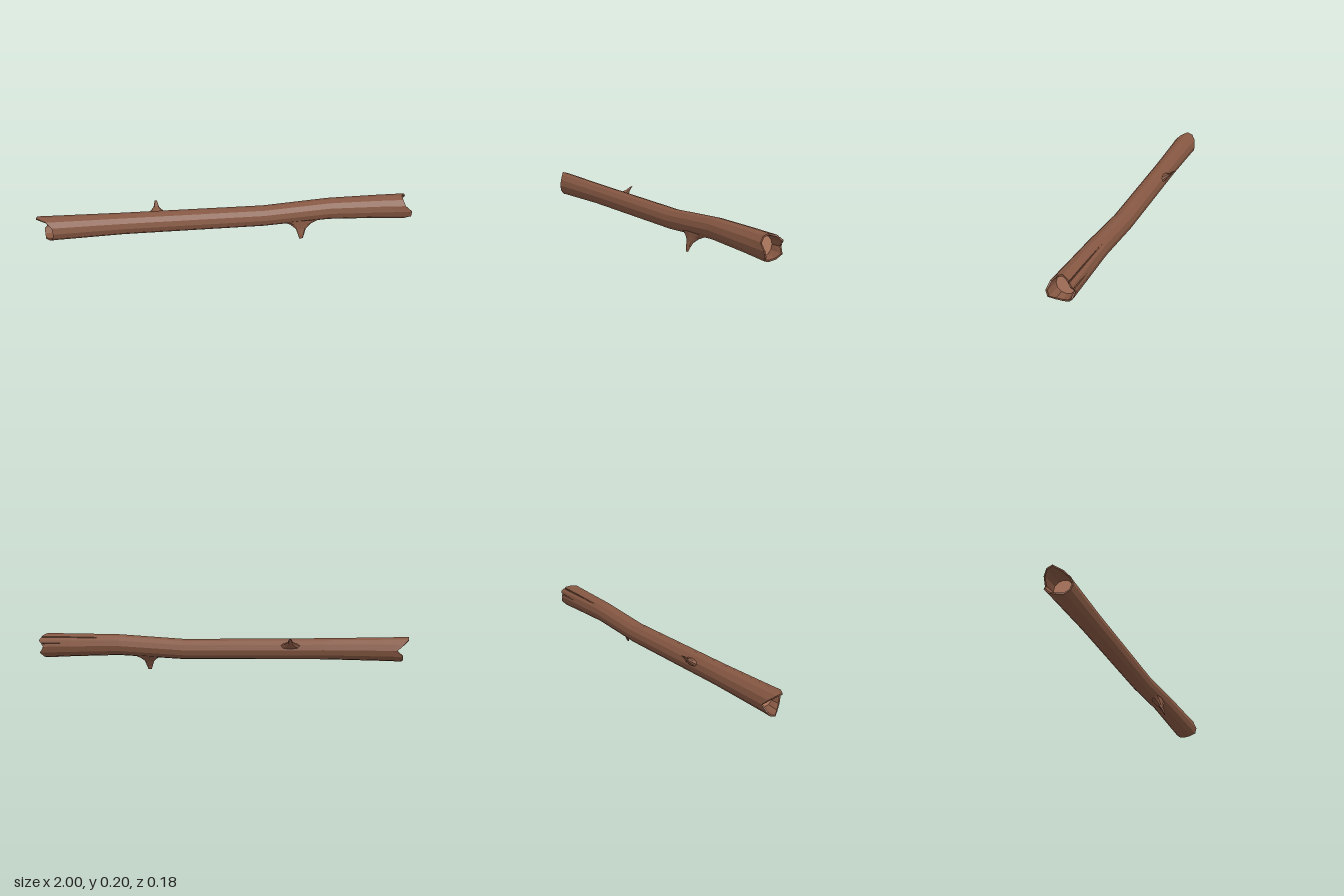
import * as THREE from 'three';

const bark = new THREE.MeshStandardMaterial({ color: 0x855742, flatShading: true });
bark.name = 'bark brown';
const heartwood = new THREE.MeshStandardMaterial({ color: 0xb87e64, flatShading: true });
heartwood.name = 'cut wood';

const DEG = Math.PI / 180;

// Skins a list of closed rings, each an array of [x, y, z]
function loft(rings) {
  const n = rings[0].length;
  const pos = [];
  for (let i = 0; i < rings.length - 1; i++) {
    for (let j = 0; j < n; j++) {
      const k = (j + 1) % n;
      const a = rings[i][j], b = rings[i + 1][j], c = rings[i + 1][k], d = rings[i][k];
      pos.push(...a, ...d, ...c, ...a, ...c, ...b);
    }
  }
  const geo = new THREE.BufferGeometry();
  geo.setAttribute('position', new THREE.Float32BufferAttribute(pos, 3));
  geo.computeVertexNormals();
  return geo;
}

function addMesh(group, name, geo, material) {
  const mesh = new THREE.Mesh(geo, material);
  mesh.name = name;
  group.add(mesh);
  return mesh;
}

// Broken rim: x at every 30 degrees, from the top round by the front
const LEFT_RIM = [-1, -0.95, -0.92, -0.915, -0.92, -0.935, -0.96, -0.965, -0.965, -0.935, -0.97, -0.995];
const RIGHT_RIM = [0.955, 0.955, 0.965, 1, 1, 0.97, 0.96, 0.97, 0.985, 0.965, 0.99, 0.975];

// Long splits in the bark: angle and the x where each begins
const CRACKS = [{ angle: 320, start: 0.58 }, { angle: 285, start: 0.82 }];

// Centre line and radius of the log: x, y, z, radius
const SECTIONS = [
  [-0.9, 0.132, 0.02, 0.064],
  [-0.55, 0.131, 0.017, 0.057],
  [0.2, 0.122, 0.013, 0.055],
  [0.55, 0.142, 0.013, 0.057],
  [0.58, 0.142, 0.0135, 0.0575],
  [0.82, 0.138, 0.017, 0.063],
];
const LEFT_END = [0.132, 0.02, 0.066];
const RIGHT_END = [0.134, 0.021, 0.067];
const CAP_X = { left: -0.88, right: 0.92 };
const RIM_RADIUS = 0.058, CAP_RADIUS = 0.05;

function makeLog() {
  const angles = [];
  for (let i = 0; i < 12; i++) angles.push(i * 30);
  for (const c of CRACKS) angles.push(c.angle - 3, c.angle, c.angle + 3);
  angles.sort((a, b) => a - b);

  const rimX = (rim, deg) => {
    const i = Math.floor(deg / 30);
    return THREE.MathUtils.lerp(rim[i], rim[(i + 1) % 12], (deg % 30) / 30);
  };
  const ring = (xAt, y, z, radius, split) => angles.map((deg) => {
    const x = xAt(deg);
    // extra columns stay on the flat sides of the twelve-sided log
    let r = radius * Math.cos(15 * DEG) / Math.cos(((deg % 30) - 15) * DEG);
    const crack = split && CRACKS.find((c) => c.angle === deg);
    if (crack) r -= 0.008 * THREE.MathUtils.clamp((x - crack.start) / (0.95 - crack.start), 0, 1);
    return [x, y + r * Math.cos(deg * DEG), z + r * Math.sin(deg * DEG)];
  });

  const left = (deg) => rimX(LEFT_RIM, deg), right = (deg) => rimX(RIGHT_RIM, deg);
  const [ly, lz, lr] = LEFT_END, [ry, rz, rr] = RIGHT_END;
  return loft([
    ring(() => CAP_X.left, ly, lz, CAP_RADIUS, false),
    ring(left, ly, lz, RIM_RADIUS, false),
    ring(left, ly, lz, lr, false),
    ...SECTIONS.map(([x, y, z, r]) => ring(() => x, y, z, r, true)),
    ring(right, ry, rz, rr, true),
    ring(right, ry, rz, RIM_RADIUS, false),
    ring(() => CAP_X.right, ry, rz, CAP_RADIUS, false),
  ]);
}

// Twig stub: path rows are y, z, half width along the log, half width across
function makeTwig(x, path) {
  const rings = path.map(([y, z, along, across], i) => {
    const p = path[Math.max(i - 1, 0)], q = path[Math.min(i + 1, path.length - 1)];
    const len = Math.hypot(q[0] - p[0], q[1] - p[1]);
    const ty = (q[0] - p[0]) / len, tz = (q[1] - p[1]) / len;
    return Array.from({ length: 8 }, (_, j) => {
      const a = j * Math.PI / 4;
      const s = across * Math.sin(a);
      return [x + along * Math.cos(a), y + tz * s, z - ty * s];
    });
  });
  const [y, z] = path[path.length - 1];
  rings.push(rings[0].map(() => [x, y, z]));
  return loft(rings);
}

export function createModel() {
  const group = new THREE.Group();
  group.name = 'log';

  addMesh(group, 'trunk', makeLog(), bark);

  // Recessed pale wood at both ends
  for (const [name, x, end, turn] of [
    ['leftCutFace', CAP_X.right, RIGHT_END, 1],
    ['rightCutFace', CAP_X.left, LEFT_END, -1],
  ]) {
    const face = addMesh(group, name, new THREE.CircleGeometry(CAP_RADIUS, 12), heartwood);
    face.rotation.y = turn * Math.PI / 2;
    face.position.set(x, end[0], end[1]);
  }

  addMesh(group, 'lowerTwig', makeTwig(0.4, [
    [0.09, 0.036, 0.1, 0.028],
    [0.072, 0.045, 0.055, 0.02],
    [0.05, 0.056, 0.027, 0.011],
    [0.02, 0.07, 0.016, 0.006],
    [0.001, 0.075, 0.01, 0.003],
  ]), bark);

  addMesh(group, 'backTwig', makeTwig(-0.37, [
    [0.148, -0.026, 0.065, 0.02],
    [0.158, -0.043, 0.035, 0.014],
    [0.171, -0.061, 0.015, 0.008],
    [0.188, -0.078, 0.009, 0.004],
    [0.194, -0.09, 0.006, 0.002],
  ]), bark);

  return group;
}
